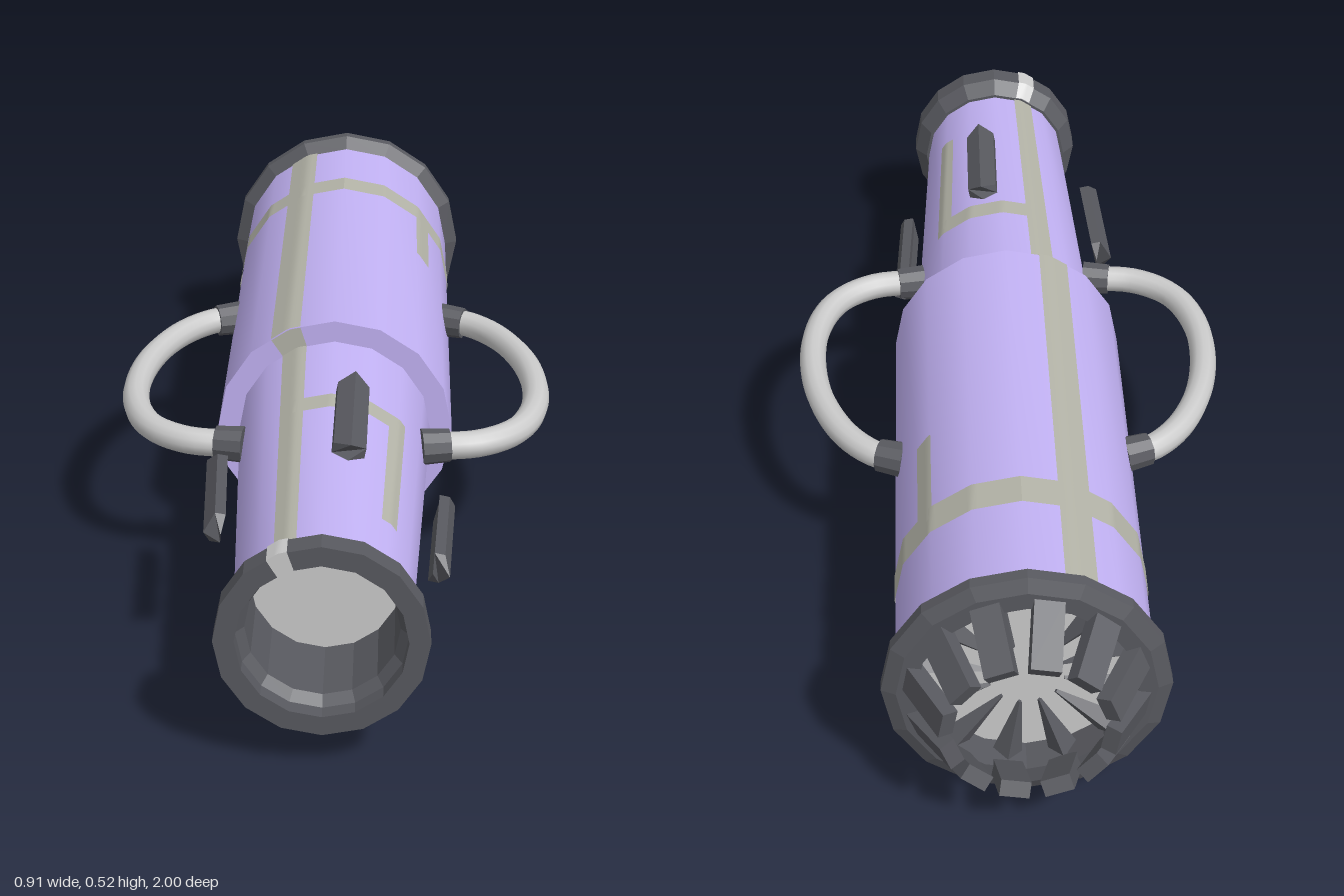
import * as THREE from 'three';
import { toCreasedNormals } from 'three/addons/utils/BufferGeometryUtils.js';

const SIDES = 16;
const STEP = (Math.PI * 2) / SIDES;
const rad = THREE.MathUtils.degToRad;
const mat = (color, flatShading = false) =>
  new THREE.MeshStandardMaterial({ color, flatShading, side: THREE.DoubleSide });
const lilac = mat(0xc2b2f4);
const olive = mat(0xb4b4a8);
const dark = mat(0x58595f, true);
const grey = mat(0xcccccc);

export function createModel() {
  const root = new THREE.Group();
  root.name = 'blaster';
  // everything is built along local z, then turned a little to the side
  const body = new THREE.Group();
  body.name = 'tube';
  body.position.set(0.01, 0.263, 0);
  body.rotation.y = rad(13.6);
  root.add(body);

  const add = (name, geo, material, parent = body) => {
    const mesh = new THREE.Mesh(geo, material);
    mesh.name = name;
    parent.add(mesh);
    return mesh;
  };

  // turned part from [radius, position along axis] pairs
  const turned = (name, profile, material) => {
    const geo = new THREE.LatheGeometry(profile.map(p => new THREE.Vector2(...p)), SIDES);
    geo.rotateX(Math.PI / 2);
    return add(name, toCreasedNormals(geo, rad(30)), material);
  };

  // painted stripe following the sixteen-sided surface; angles in degrees from the top towards +x
  const stripe = (name, [r0, s0], [r1, s1], from, to, material = olive) => {
    const n = Math.max(2, Math.ceil((to - from) / 2.5));
    const pos = [], index = [];
    for (let i = 0; i <= n; i++) {
      const a = rad(from + ((to - from) * i) / n);
      const inFacet = THREE.MathUtils.euclideanModulo(a, STEP) - STEP / 2;
      const k = Math.cos(STEP / 2) / Math.cos(inFacet);
      for (const [r, s] of [[r0, s0], [r1, s1]]) pos.push(Math.sin(a) * r * k, Math.cos(a) * r * k, s);
      if (i < n) {
        const b = i * 2;
        index.push(b, b + 1, b + 2, b + 1, b + 3, b + 2);
      }
    }
    const geo = new THREE.BufferGeometry();
    geo.setAttribute('position', new THREE.Float32BufferAttribute(pos, 3));
    geo.setIndex(index);
    geo.computeVertexNormals();
    add(name, geo, material);
  };

  // main shells
  turned('rearBody', [[0.235, -0.86], [0.235, 0.16], [0.185, 0.16]], lilac);
  turned('barrel', [[0.192, 0.15], [0.155, 0.92]], lilac);

  // muzzle collar with stepped bore
  turned('muzzleCollar', [[0.15, 0.905], [0.162, 0.905], [0.187, 0.935], [0.187, 0.98], [0.15, 0.98],
    [0.15, 0.95], [0.135, 0.93], [0.135, 0.77]], dark);
  add('boreEnd', new THREE.CircleGeometry(0.137, SIDES), grey).position.z = 0.775;

  // rear flange
  turned('rearFlange', [[0.235, -0.8], [0.2, -0.8], [0.2, -0.885], [0.235, -0.885], [0.262, -0.873],
    [0.262, -0.85], [0.235, -0.835]], dark);
  const vent = add('ventBack', new THREE.CircleGeometry(0.205, SIDES), grey);
  vent.position.z = -0.82;
  vent.rotation.y = Math.PI;

  // exhaust teeth and inner blades
  for (let i = 0; i < 12; i++) {
    const arm = new THREE.Group();
    arm.name = 'exhaustSegment';
    arm.rotation.z = rad(i * 30 + 10);
    body.add(arm);
    const tooth = add('tooth', new THREE.BoxGeometry(0.055, 0.03, 0.13), dark, arm);
    tooth.position.set(0, 0.178, -0.93);
    tooth.rotation.x = rad(-30);
    const blade = add('blade', new THREE.CylinderGeometry(0.03, 0.004, 0.14, 4), dark, arm);
    blade.position.set(0, 0.14, -0.84);
  }

  // painted stripes
  const barrelR = s => 0.1945 - (s - 0.15) * 0.048;
  const onBody = s => [0.237, s];
  const onBarrel = s => [barrelR(s), s];
  stripe('topStripe', onBody(-0.85), onBody(0.16), -33, -17);
  stripe('lowerStripe', onBody(-0.85), onBody(0.16), 196, 206);
  stripe('bodyBand', onBody(-0.64), onBody(-0.57), 0, 360);
  stripe('bodySideStripe', onBody(-0.6), onBody(-0.36), 44, 55);
  stripe('stepStripeTop', [0.235, 0.162], [0.19, 0.162], -33, -17);
  stripe('stepStripeBottom', [0.235, 0.162], [0.19, 0.162], 196, 210);
  stripe('barrelStripe', onBarrel(0.16), onBarrel(0.91), -33, -17);
  stripe('barrelBand', onBarrel(0.38), onBarrel(0.43), -25, 51);
  stripe('barrelSideStripe', onBarrel(0.4), onBarrel(0.77), 38, 51);

  // pale sight mark on the collar
  const collar = [[0.164, 0.904], [0.189, 0.934], [0.189, 0.982], [0.15, 0.982]];
  for (let i = 0; i < 3; i++) stripe('sightMark', collar[i], collar[i + 1], -30, -18, grey);

  // four ridged fins with pointed ends floating round the barrel
  const w = 0.03, len = 0.28;
  const section = new THREE.Shape([[-w, 0], [0, 0.004], [w, 0], [w, 0.02], [0, 0.036], [-w, 0.02]]
    .map(p => new THREE.Vector2(...p)));
  const finGeo = new THREE.ExtrudeGeometry(section, { depth: len, bevelEnabled: false });
  finGeo.translate(0, 0, -len / 2);
  const fp = finGeo.attributes.position;
  for (let i = 0; i < fp.count; i++) if (Math.abs(fp.getX(i)) > 0.01) fp.setZ(i, fp.getZ(i) * 0.82);
  finGeo.computeVertexNormals();
  for (let i = 0; i < 4; i++) {
    const arm = new THREE.Group();
    arm.name = 'finMount';
    arm.rotation.z = rad(-11 + i * 90);
    body.add(arm);
    const fin = add('fin', finGeo, dark, arm);
    fin.position.set(0, 0.2, 0.535);
    fin.rotation.x = rad(3);
  }

  // curved side pipes with sockets, mirrored left and right
  for (const side of [1, -1]) {
    const pts = [[0.22, -0.282], [0.27, -0.265], [0.336, -0.195], [0.393, -0.05], [0.402, 0.13],
      [0.36, 0.25], [0.285, 0.308], [0.18, 0.324]]
      .map(([x, z]) => new THREE.Vector3(side * x, 0.045, z));
    add('sidePipe', new THREE.TubeGeometry(new THREE.CatmullRomCurve3(pts), 40, 0.027, 12), grey);
    for (const [x, z, turn] of [[0.24, -0.275, 0.35], [0.2, 0.322, 0.15]]) {
      const socket = add('pipeSocket', new THREE.CylinderGeometry(0.033, 0.036, 0.055, 10), dark);
      socket.position.set(side * x, 0.045, z);
      socket.rotation.set(0, side * (z < 0 ? -turn : turn), -side * Math.PI / 2);
    }
  }
  return root;
}
